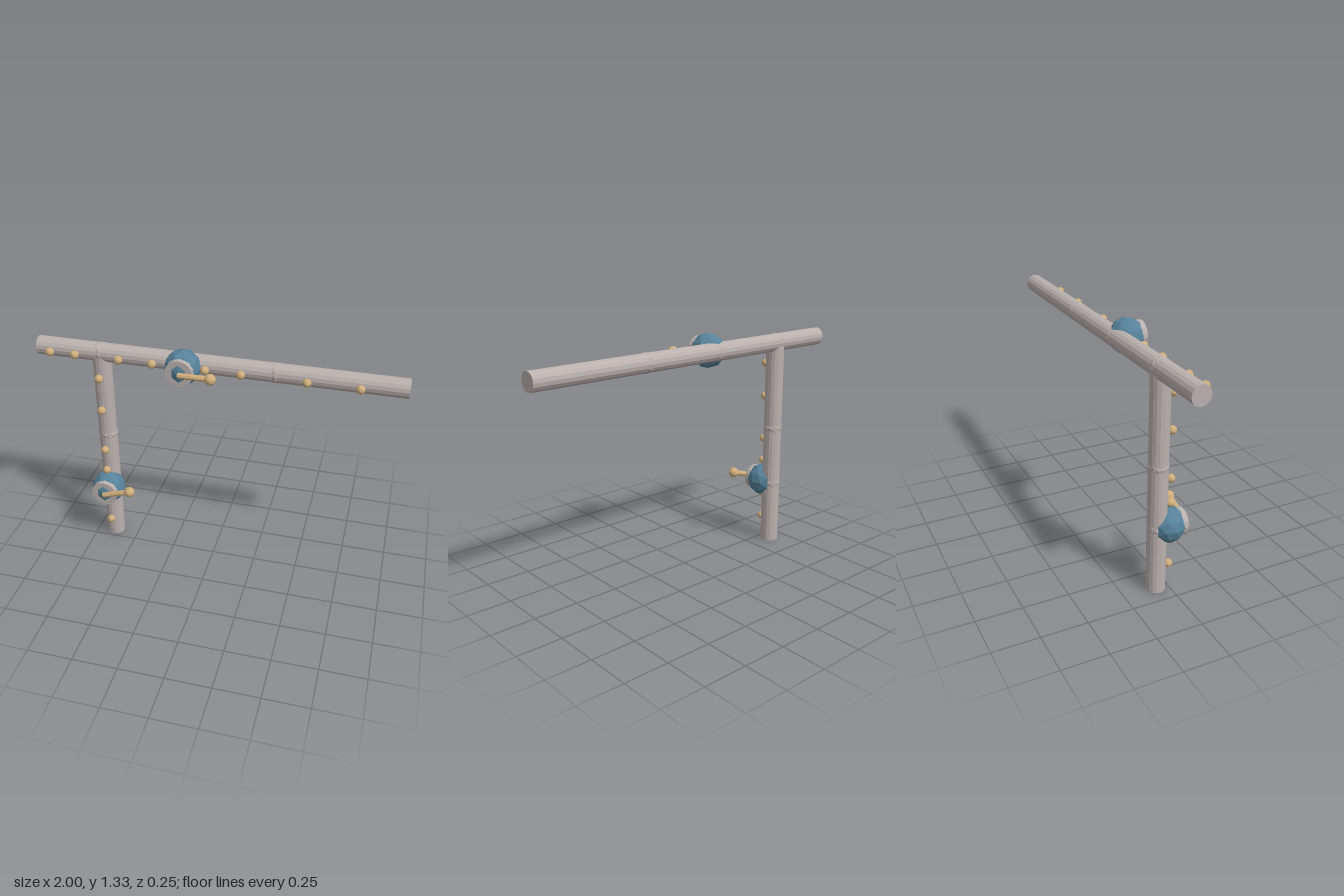
import * as THREE from 'three';

export function createModel() {
  const model = new THREE.Group();
  const mat = (name, color) => {
    const m = new THREE.MeshStandardMaterial({ color, flatShading: true });
    m.name = name;
    return m;
  };
  const metal = mat('warm grey metal', 0xbab1ae);
  const blue = mat('steel blue', 0x56829a);
  const brass = mat('pale brass', 0xcfae7c);

  const PIPE_R = 0.052, PIPE_Z = -0.067, TOP_Y = 1.23, POST_X = -0.64;

  const add = (parent, name, geo, material, x, y, z) => {
    const mesh = new THREE.Mesh(geo, material);
    mesh.name = name;
    mesh.position.set(x, y, z);
    parent.add(mesh);
    return mesh;
  };
  const ball = (r) => new THREE.IcosahedronGeometry(r, 1);

  // Pipes: one long horizontal run and a post that meets it
  add(model, 'horizontalPipe', new THREE.CylinderGeometry(PIPE_R, PIPE_R, 2, 16).rotateZ(Math.PI / 2),
    metal, 0, TOP_Y, PIPE_Z);
  add(model, 'verticalPipe', new THREE.CylinderGeometry(PIPE_R, PIPE_R, TOP_Y, 16),
    metal, POST_X, TOP_Y / 2, PIPE_Z);

  // Faceted joints that just break the pipe surface
  const joints = [[POST_X, TOP_Y], [0.32, TOP_Y], [-0.165, TOP_Y], [POST_X, 0.72], [POST_X, 0.375]];
  for (const [x, y] of joints) add(model, 'pipeJoint', ball(0.056), metal, x, y, PIPE_Z);

  // Small studs along the front of both pipes
  const studs = [
    ...[-0.91, -0.767, -0.52, -0.333, -0.045, 0.147, 0.49, 0.76].map((x) => [x, TOP_Y]),
    ...[0.133, 0.283, 0.497, 0.636, 0.9, 1.1].map((y) => [POST_X, y]),
  ];
  for (const [x, y] of studs) add(model, 'stud', ball(0.024), brass, x, y, 0.004);

  // Valves: faceted body, front collar and lever with a knob
  const valve = (name, x, y, angle) => {
    const g = new THREE.Group();
    g.name = name;
    g.position.set(x, y, 0);
    add(g, 'valveBody', ball(0.098), blue, 0, 0, -0.006);
    add(g, 'valveCollar', new THREE.CylinderGeometry(0.075, 0.075, 0.04, 16).rotateX(Math.PI / 2),
      metal, 0, 0, 0.058);
    const lever = new THREE.Group();
    lever.name = 'lever';
    lever.position.z = 0.091;
    lever.rotation.z = angle;
    add(lever, 'leverRod', new THREE.CylinderGeometry(0.016, 0.016, 0.172, 8).rotateZ(Math.PI / 2),
      brass, 0.086, 0, 0);
    add(lever, 'leverKnob', ball(0.031), brass, 0.172, 0, 0);
    g.add(lever);
    model.add(g);
  };
  valve('upperValve', -0.165, TOP_Y, 0);
  valve('lowerValve', POST_X, 0.375, 0.31);

  return model;
}
